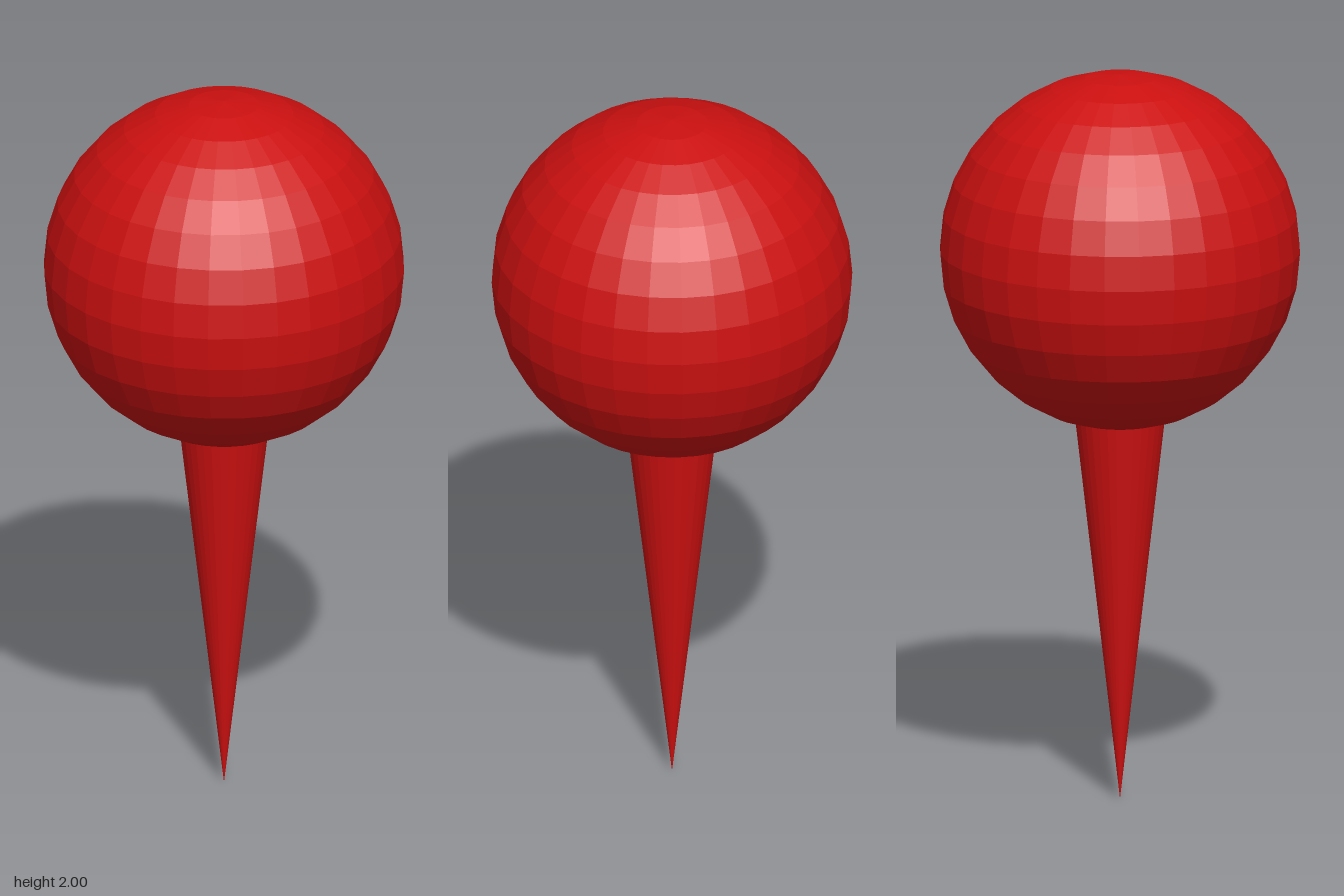
import * as THREE from 'three';

export function createModel() {
  const group = new THREE.Group();
  group.name = 'pin';
  const red = new THREE.MeshStandardMaterial({ color: 0xcc1010, flatShading: true });

  // Faceted ball head
  const radius = 0.485;
  const head = new THREE.Mesh(new THREE.SphereGeometry(radius, 32, 16), red);
  head.name = 'ballHead';
  head.position.y = 2 - radius;
  group.add(head);

  // Tapered spike, point down, its wide end sunk slightly into the ball
  const length = 1.06;
  const cone = new THREE.ConeGeometry(0.122, length, 32);
  cone.rotateX(Math.PI);
  const spike = new THREE.Mesh(cone, red);
  spike.name = 'spike';
  spike.position.y = length / 2;
  group.add(spike);

  return group;
}
